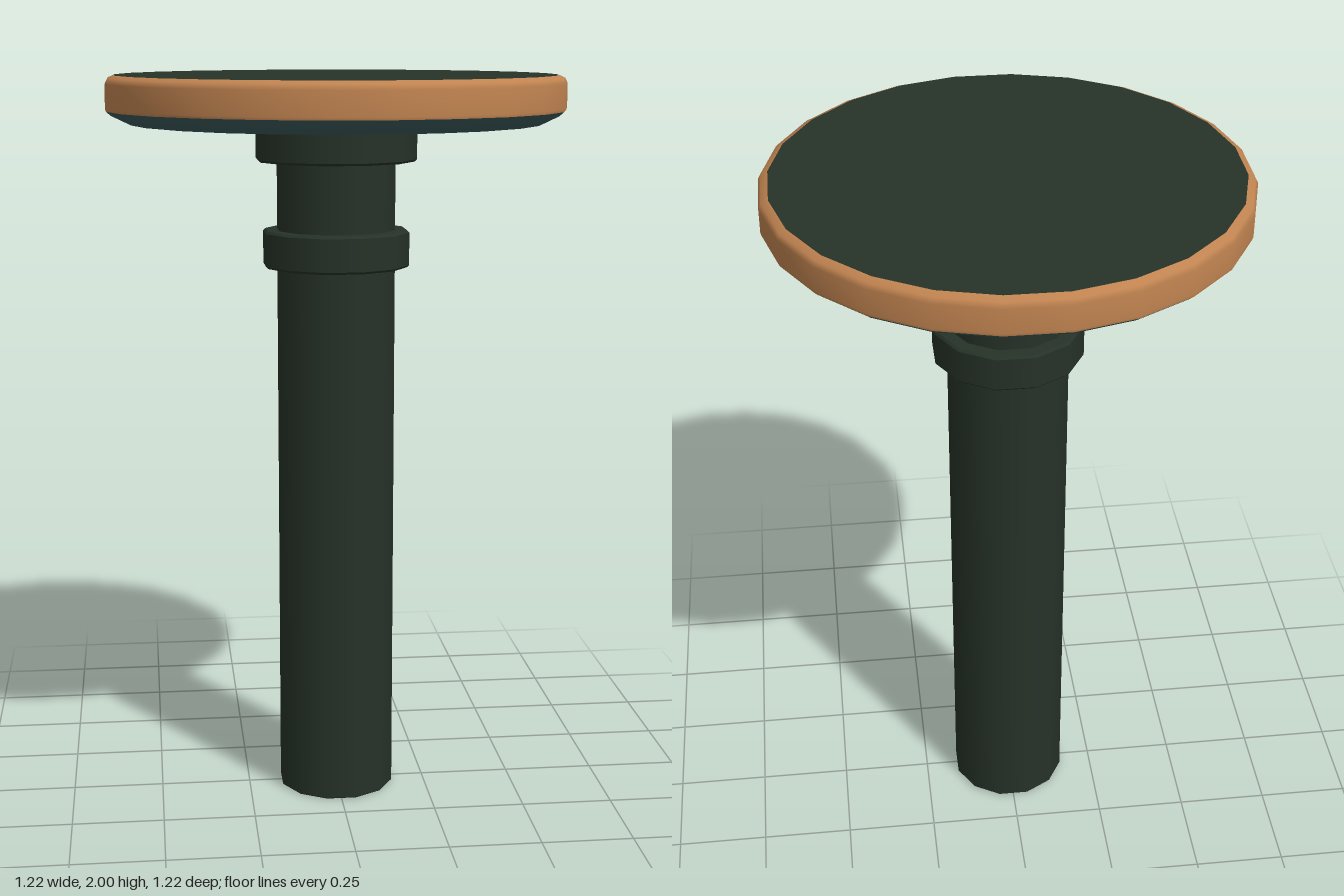
import * as THREE from 'three';

const paint = (name, color) => {
  const m = new THREE.MeshStandardMaterial({ color });
  m.name = name;
  return m;
};

// Turn a profile of [radius, height] points, listed bottom to top.
// A repeated point makes a sharp edge; facets face the main axes.
function turned(name, profile, sides, material) {
  const points = profile.map(([r, y]) => new THREE.Vector2(r, y));
  const mesh = new THREE.Mesh(
    new THREE.LatheGeometry(points, sides, Math.PI / sides), material);
  mesh.name = name;
  return mesh;
}

// Closed drum with a slight bevel on both edges
function drum(name, r, y0, y1, bevel, material) {
  const b = bevel;
  return turned(name, [
    [0, y0], [r - b, y0], [r - b, y0],
    [r, y0 + b], [r, y0 + b], [r, y1 - b], [r, y1 - b],
    [r - b, y1], [r - b, y1], [0, y1],
  ], 12, material);
}

export function createModel() {
  const darkGreen = paint('dark green', 0x263228);
  const copper = paint('copper', 0xc08350);
  const teal = paint('teal', 0x3d5c5e);

  const model = new THREE.Group();
  model.name = 'pedestal';

  // Post and its two collars
  model.add(
    drum('post', 0.162, 0, 1.88, 0.003, darkGreen),
    drum('lowerCollar', 0.201, 1.488, 1.588, 0.006, darkGreen),
    drum('upperCollar', 0.22, 1.772, 1.88, 0.006, darkGreen),
  );

  // Round top: sloped underside, rim band and inset surface
  model.add(
    turned('underside', [
      [0, 1.87], [0.53, 1.87], [0.53, 1.87], [0.55, 1.872],
      [0.602, 1.897], [0.615, 1.908],
    ], 24, teal),
    turned('rim', [
      [0.615, 1.908], [0.617, 1.915], [0.617, 1.978],
      [0.61, 1.992], [0.592, 2],
    ], 24, copper),
    turned('topSurface', [[0.592, 2], [0, 2]], 24, darkGreen),
  );
  return model;
}
